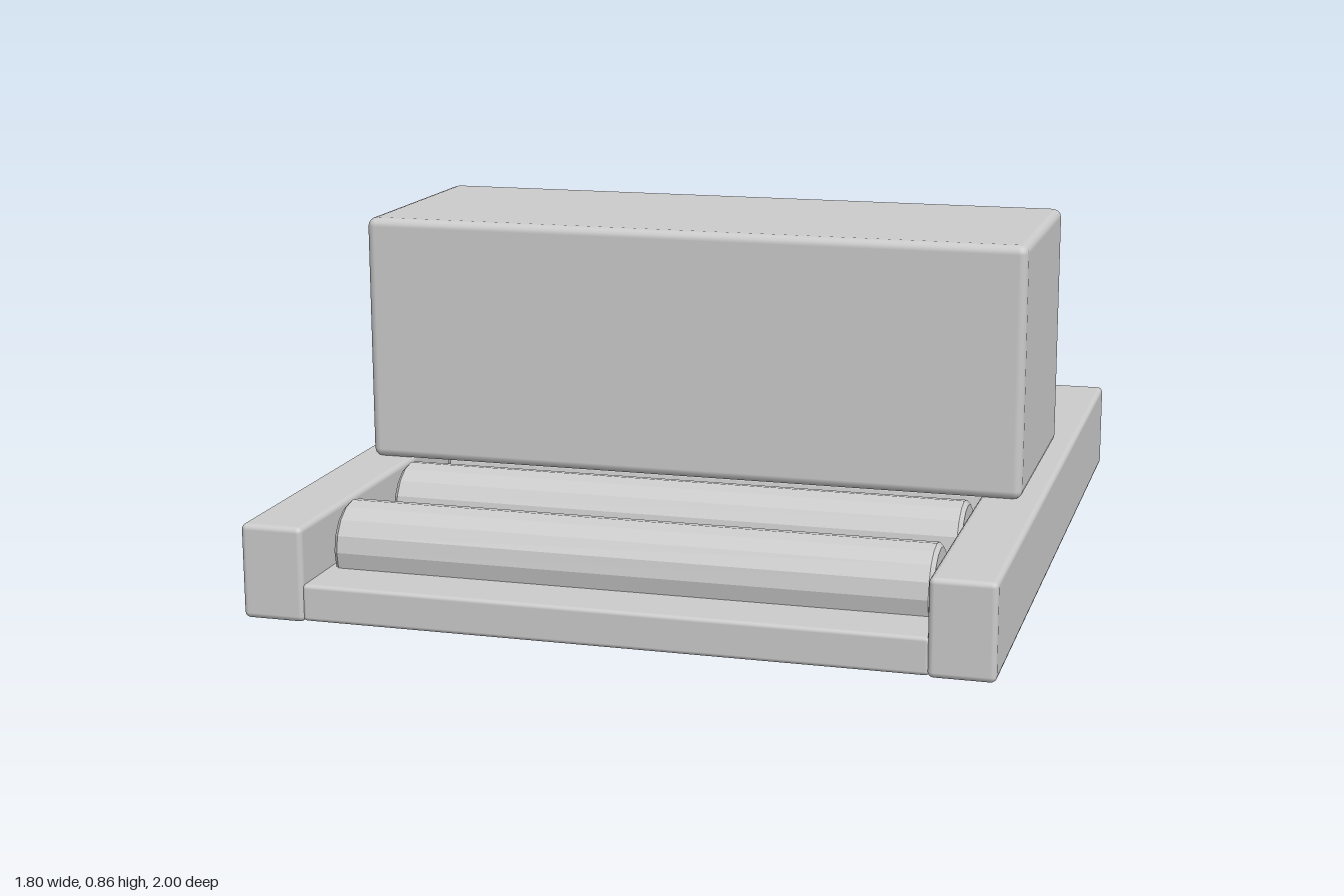
import * as THREE from 'three';
import { RoundedBoxGeometry } from 'three/addons/geometries/RoundedBoxGeometry.js';

const smooth = new THREE.MeshStandardMaterial({ color: 0xcccccc });
const faceted = new THREE.MeshStandardMaterial({ color: 0xcccccc, flatShading: true });

// Soft-edged box given by its size, bottom height and x offset
function box(name, w, h, d, bottom, radius, x = 0) {
  const mesh = new THREE.Mesh(new RoundedBoxGeometry(w, h, d, 2, radius), smooth);
  mesh.name = name;
  mesh.position.set(x, bottom + h / 2, 0);
  return mesh;
}

export function createModel() {
  const model = new THREE.Group();
  model.name = 'rollerConveyor';

  // Bed plate between two side rails
  model.add(box('bedPlate', 1.5, 0.09, 1.99, 0.003, 0.01));
  for (const side of [-1, 1]) {
    model.add(box(side > 0 ? 'leftRail' : 'rightRail', 0.155, 0.232, 2, 0, 0.014, side * 0.8225));
  }

  // Five evenly spaced rollers with slightly bevelled rims
  const radius = 0.105, half = 0.73, bevel = 0.01;
  const profile = [
    [0, -half], [radius - bevel, -half], [radius, -half + bevel],
    [radius, half - bevel], [radius - bevel, half], [0, half],
  ].map(([x, y]) => new THREE.Vector2(x, y));
  const rollerGeometry = new THREE.LatheGeometry(profile, 16).rotateZ(Math.PI / 2);
  for (let i = -2; i <= 2; i++) {
    const roller = new THREE.Mesh(rollerGeometry, faceted);
    roller.name = 'roller' + (i + 3);
    roller.position.set(0, 0.133, i * 0.375);
    model.add(roller);
  }

  // Large housing resting across the rails
  model.add(box('housing', 1.7, 0.63, 0.635, 0.23, 0.022));
  return model;
}
